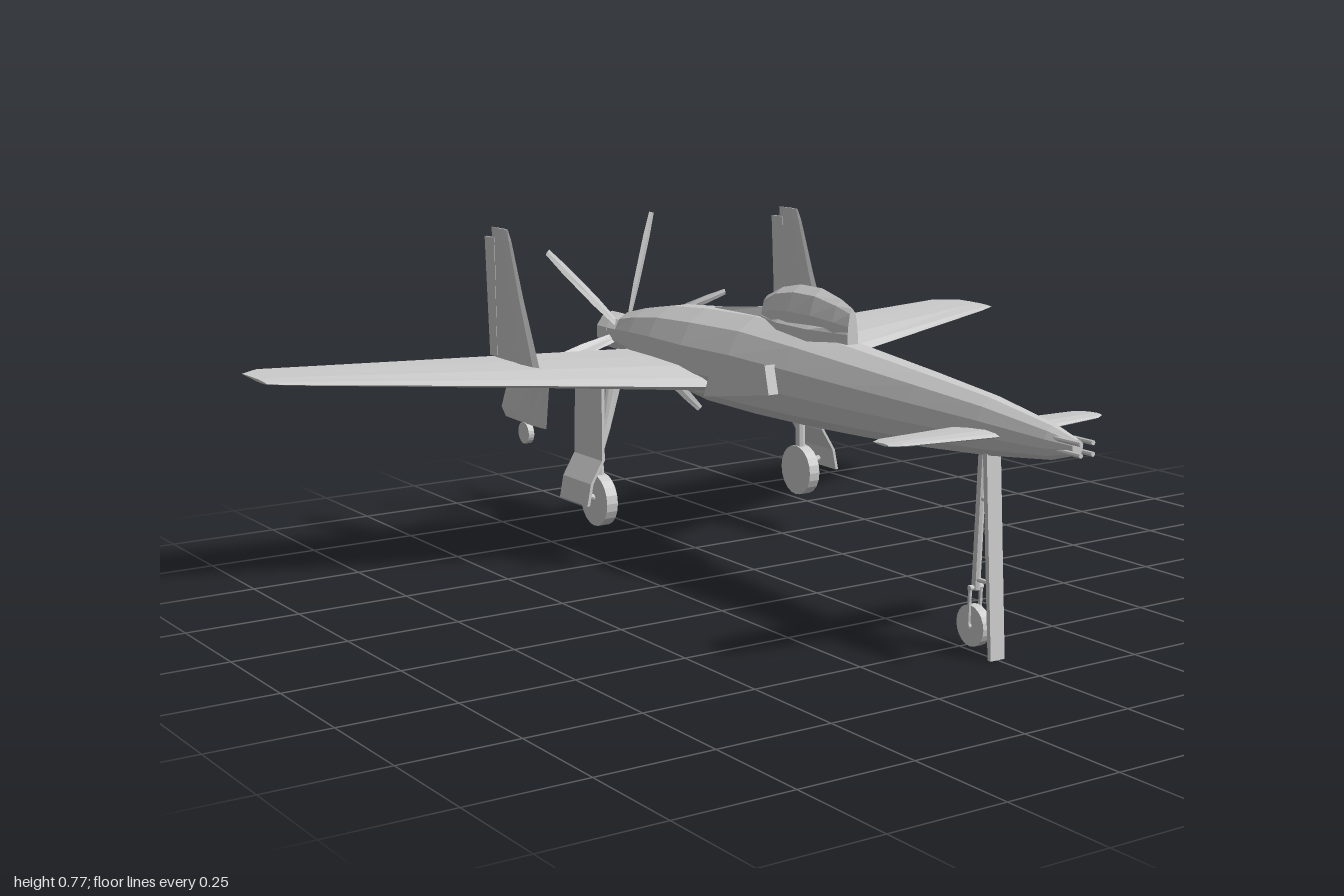
import * as THREE from 'three';

const mat = new THREE.MeshStandardMaterial({ color: 0xcccccc, flatShading: true, side: THREE.DoubleSide });

function add(parent, name, geo, x = 0, y = 0, z = 0) {
  const m = new THREE.Mesh(geo, mat);
  m.name = name;
  m.position.set(x, y, z);
  parent.add(m);
  return m;
}

// Skin a list of equal-length rings, cap both ends, and turn the faces outwards
function loft(rings) {
  const n = rings[0].length, pts = rings.flat(), idx = [];
  for (let i = 0; i < rings.length - 1; i++)
    for (let j = 0; j < n; j++) {
      const a = i * n + j, b = i * n + (j + 1) % n;
      idx.push(a, b, b + n, a, b + n, a + n);
    }
  const e = (rings.length - 1) * n;
  for (let j = 1; j < n - 1; j++) idx.push(0, j + 1, j, e, e + j, e + j + 1);
  let vol = 0;
  for (let i = 0; i < idx.length; i += 3)
    vol += pts[idx[i]].dot(pts[idx[i + 1]].clone().cross(pts[idx[i + 2]]));
  if (vol < 0) idx.reverse();
  const g = new THREE.BufferGeometry().setFromPoints(pts);
  g.setIndex(idx);
  g.computeVertexNormals();
  return g;
}

// Body section: [z, bottom, top, half width]
const body = (sections, sides) => loft(sections.map(([z, lo, hi, w]) =>
  Array.from({ length: sides }, (_, i) => {
    const a = (i + 0.5) / sides * Math.PI * 2;
    const k = 1 / Math.cos(Math.PI / sides);
    return new THREE.Vector3(Math.cos(a) * w * k, (lo + hi) / 2 + Math.sin(a) * (hi - lo) / 2 * k, z);
  })));

// Aerofoil outline: chord fraction and thickness fraction
const FOIL = [[0, 0], [0.08, 0.3], [0.3, 0.5], [0.65, 0.33], [1, 0.03], [1, -0.03], [0.65, -0.33], [0.3, -0.5], [0.08, -0.3]];

// Aerofoil section: [span, leading z, trailing z, thickness, leading offset, trailing offset]
const foil = (sections, upright = false) => loft(sections.map(([s, le, te, t, o1 = 0, o2 = o1]) =>
  FOIL.map(([c, h]) => {
    const off = o1 + (o2 - o1) * c + h * t, z = le + (te - le) * c;
    return upright ? new THREE.Vector3(off, s, z) : new THREE.Vector3(s, off, z);
  })));

// Round bar between two points
function bar(parent, name, a, b, r, sides = 8) {
  const p = new THREE.Vector3(...a), q = new THREE.Vector3(...b), d = q.clone().sub(p);
  const m = add(parent, name, new THREE.CylinderGeometry(r, r, d.length(), sides));
  m.position.copy(p).lerp(q, 0.5);
  m.quaternion.setFromUnitVectors(new THREE.Vector3(0, 1, 0), d.normalize());
}

function wheel(parent, name, r, w, x, y, z) {
  add(parent, name, new THREE.CylinderGeometry(r, r, w, 20).rotateZ(Math.PI / 2), x, y, z);
}

// Plate with an outline given in (z, y), centred on x = 0
function sidePlate(points, w) {
  const s = new THREE.Shape(points.map(([z, y]) => new THREE.Vector2(-z, y)));
  return new THREE.ExtrudeGeometry(s, { depth: w, bevelEnabled: false }).translate(0, 0, -w / 2).rotateY(Math.PI / 2);
}

export function createModel() {
  const plane = new THREE.Group();
  plane.name = 'canardAircraft';

  add(plane, 'fuselage', body([
    [0.845, 0.455, 0.485, 0.013], [0.78, 0.436, 0.502, 0.026], [0.6, 0.414, 0.53, 0.045], [0.4, 0.398, 0.549, 0.06],
    [0.2, 0.386, 0.566, 0.074], [0, 0.378, 0.582, 0.087], [-0.2, 0.374, 0.594, 0.098], [-0.4, 0.375, 0.588, 0.099],
    [-0.56, 0.392, 0.575, 0.086], [-0.68, 0.409, 0.555, 0.068], [-0.78, 0.427, 0.532, 0.047]], 12));

  add(plane, 'canopy', body([
    [0.13, 0.54, 0.645, 0.012], [0.09, 0.53, 0.66, 0.024], [0.02, 0.52, 0.675, 0.034], [-0.06, 0.52, 0.675, 0.036],
    [-0.13, 0.53, 0.662, 0.032], [-0.19, 0.54, 0.638, 0.016]], 10));
  // Raised frame that fills the canopy sides down to the body
  add(plane, 'canopySill', body([
    [0.13, 0.54, 0.615, 0.014], [0.02, 0.53, 0.62, 0.042], [-0.1, 0.53, 0.62, 0.04], [-0.19, 0.55, 0.615, 0.018], [-0.4, 0.55, 0.59, 0.008]], 8));

  // Nose guns
  for (const x of [-0.015, 0.015])
    for (const y of [0.46, 0.482]) bar(plane, 'noseGun', [x, y, 0.74], [x, y, 0.872], 0.005);

  for (const s of [-1, 1]) {
    const side = s > 0 ? 'left' : 'right';

    add(plane, side + 'Wing', foil([
      [0, -0.25, -0.69, 0.05, 0.425, 0.455], [s * 0.1, -0.28, -0.703, 0.048, 0.43, 0.458],
      [s * 0.4, -0.392, -0.737, 0.034, 0.447, 0.467], [s * 0.95, -0.6, -0.803, 0.012, 0.476, 0.482],
      [s, -0.62, -0.76, 0.006, 0.48, 0.483]]));

    add(plane, side + 'Canard', foil([
      [0, 0.668, 0.532, 0.018, 0.465], [s * 0.05, 0.662, 0.535, 0.016, 0.465], [s * 0.245, 0.632, 0.549, 0.01, 0.466],
      [s * 0.27, 0.615, 0.565, 0.005, 0.466]]));

    // Air intake on the flank
    const scoop = add(plane, side + 'Intake', sidePlate(
      [[-0.035, 0.515], [-0.255, 0.465], [-0.28, 0.41], [-0.02, 0.452]], 0.045), s * 0.091);
    scoop.rotation.z = 0;

    // Fin, rudder and lower fin with a small tail wheel
    const fin = new THREE.Group();
    fin.name = side + 'Fin';
    fin.position.x = s * 0.4;
    plane.add(fin);
    add(fin, 'finBlade', foil([
      [0.44, -0.5, -0.725, 0.027], [0.62, -0.582, -0.725, 0.018], [0.745, -0.632, -0.725, 0.011], [0.77, -0.648, -0.727, 0.006]], true));
    add(fin, 'rudder', sidePlate([[-0.71, 0.47], [-0.745, 0.47], [-0.757, 0.746], [-0.71, 0.746]], 0.006));
    add(fin, 'lowerFin', foil([
      [0.335, -0.487, -0.68, 0.012], [0.355, -0.484, -0.7, 0.016], [0.45, -0.468, -0.65, 0.026]], true));
    wheel(fin, 'tailWheel', 0.025, 0.014, 0, 0.312, -0.583);

    // Main landing gear
    const gear = new THREE.Group();
    gear.name = side + 'MainGear';
    plane.add(gear);
    const gx = s * 0.28;
    wheel(gear, 'mainWheel', 0.06, 0.028, gx, 0.162, -0.465);
    bar(gear, 'mainStrut', [gx, 0.44, -0.465], [gx, 0.2, -0.465], 0.012);
    bar(gear, 'mainAxle', [gx, 0.162, -0.465], [s * 0.335, 0.185, -0.465], 0.007);
    bar(gear, 'dragBrace', [gx, 0.43, -0.42], [gx, 0.27, -0.465], 0.007);
    // Bent door
    const line = [[0.298, 0.43], [0.3, 0.265], [0.33, 0.215], [0.34, 0.165]];
    add(gear, 'mainGearDoor', loft(line.map(([x, y], i) => {
      const z0 = -0.402, z1 = i ? -0.528 : -0.522;
      return [[x, z0], [x + 0.007, z0], [x + 0.007, z1], [x, z1]].map(([px, z]) => new THREE.Vector3(s * px, y, z));
    })));
  }

  // Nose landing gear with flat door, strut, wheel and links
  const nose = new THREE.Group();
  nose.name = 'noseGear';
  plane.add(nose);
  add(nose, 'noseGearDoor', sidePlate([[0.6, 0.43], [0.588, 0.43], [0.612, 0], [0.622, 0]], 0.036));
  wheel(nose, 'noseWheel', 0.043, 0.02, 0, 0.055, 0.545);
  bar(nose, 'noseStrut', [0, 0.43, 0.568], [0, 0.13, 0.55], 0.009);
  for (const x of [-0.014, 0.014]) bar(nose, 'noseFork', [x, 0.14, 0.55], [x, 0.055, 0.545], 0.004);
  bar(nose, 'noseAxle', [-0.016, 0.055, 0.545], [0.016, 0.055, 0.545], 0.006);
  bar(nose, 'forkBridge', [-0.017, 0.135, 0.55], [0.017, 0.135, 0.55], 0.006);
  for (const y of [0.152, 0.32]) bar(nose, 'noseLink', [0, y, 0.556], [0, y, 0.605], 0.005);

  // Pusher propeller: hub and six blades
  const prop = new THREE.Group();
  prop.name = 'propeller';
  prop.position.set(0, 0.478, -0.808);
  plane.add(prop);
  add(prop, 'propellerHub', new THREE.CylinderGeometry(0.04, 0.046, 0.06, 10).rotateX(Math.PI / 2), 0, 0, 0.005);
  add(prop, 'propellerSpinner', new THREE.CylinderGeometry(0.046, 0.046, 0.045, 10).rotateX(Math.PI / 2), 0, 0, -0.042);
  for (let i = 0; i < 6; i++) {
    const blade = add(prop, 'propellerBlade', loft([[0.02, 0.011, 0.7], [0.12, 0.015, 0.5], [0.24, 0.012, 0.3], [0.3, 0.008, 0.2]].map(([r, w, twist]) =>
      [[-1, 0], [0, 0.2], [1, 0], [0, -0.2]].map(([u, v]) => new THREE.Vector3(
        r, w * (u * Math.cos(twist) - v * Math.sin(twist)), w * (u * Math.sin(twist) + v * Math.cos(twist)))))));
    blade.rotation.z = (15 + 60 * i) * Math.PI / 180;
  }
  return plane;
}
